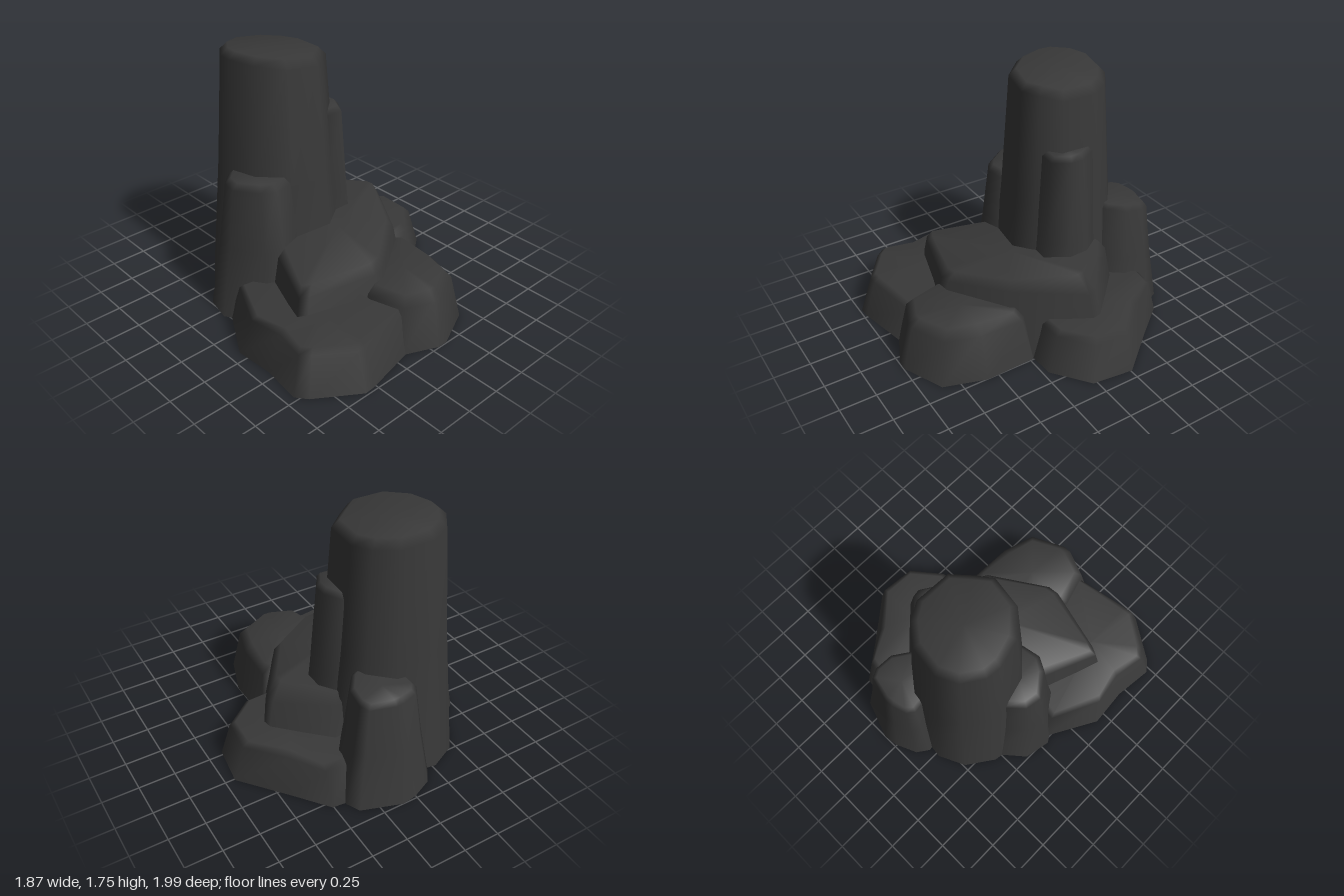
import * as THREE from 'three';

const stone = new THREE.MeshStandardMaterial({ color: 0x383838, side: THREE.DoubleSide });
stone.name = 'dark stone';

// One bevelled, open-bottomed rock.
// points: shoulder outline [x, z, bevel multiplier]; top(x, z): height of the top face;
// flare: how far the foot spreads; bevel: [inset, drop]; waist: adds a ring at half height.
function rock(name, { points, top, flare, bevel: [inset, drop], waist = false }) {
  const area = points.reduce((sum, [x, z], i) => {
    const [nx, nz] = points[(i + 1) % points.length];
    return sum + x * nz - nx * z;
  }, 0);
  const outline = area < 0 ? points : [...points].reverse();
  const n = outline.length;
  const cx = outline.reduce((s, p) => s + p[0], 0) / n;
  const cz = outline.reduce((s, p) => s + p[1], 0) / n;

  const rings = [{ out: flare, at: () => 0 }];
  if (waist) rings.push({ out: flare * 0.4, at: (y) => y * 0.52 });
  rings.push({ out: 0, at: (y, k) => y - drop * k });
  rings.push({ out: -inset, at: (y) => y, bevelled: true });

  const vertices = [];
  for (const { out, at, bevelled } of rings) {
    for (const [x, z, k = 1] of outline) {
      const r = Math.hypot(x - cx, z - cz);
      const s = 1 + (out * (bevelled ? k : 1)) / r;
      const px = cx + (x - cx) * s, pz = cz + (z - cz) * s;
      vertices.push(px, at(top(px, pz), k), pz);
    }
  }
  vertices.push(cx, top(cx, cz), cz);

  const index = [];
  for (let r = 0; r < rings.length - 1; r++) {
    for (let i = 0; i < n; i++) {
      const a = r * n + i, b = r * n + (i + 1) % n;
      index.push(a, b, b + n, a, b + n, a + n);
    }
  }
  const last = (rings.length - 1) * n;
  for (let i = 0; i < n; i++) index.push(last + i, last + (i + 1) % n, last + n);

  const geometry = new THREE.BufferGeometry();
  geometry.setAttribute('position', new THREE.Float32BufferAttribute(vertices, 3));
  geometry.setIndex(index);
  geometry.computeVertexNormals();
  const mesh = new THREE.Mesh(geometry, stone);
  mesh.name = name;
  return mesh;
}

export function createModel() {
  const group = new THREE.Group();
  group.name = 'rockFormation';

  // Tall columns
  group.add(rock('mainColumn', {
    points: [[-0.47, -0.4], [-0.46, -0.5], [-0.37, -0.63], [-0.24, -0.69], [-0.03, -0.66], [0.1, -0.56],
      [0.17, -0.44], [0.16, -0.2], [0.04, -0.1], [-0.06, -0.03], [-0.28, -0.07], [-0.42, -0.22]],
    top: (x) => 1.705 - 0.1 * x, flare: 0.14, bevel: [0.05, 0.05], waist: true,
  }));
  group.add(rock('backColumn', {
    points: [[-0.09, -0.8], [-0.05, -0.85], [0.05, -0.88], [0.11, -0.885], [0.28, -0.84], [0.31, -0.78],
      [0.3, -0.65], [0.22, -0.54], [0.08, -0.46], [-0.06, -0.55]],
    top: (x, z) => 0.87 + 0.125 * z, flare: 0.115, bevel: [0.03, 0.03], waist: true,
  }));
  group.add(rock('rightColumn', {
    points: [[-0.64, -0.2], [-0.62, -0.31], [-0.5, -0.42], [-0.32, -0.4], [-0.24, -0.25], [-0.28, -0.03],
      [-0.44, 0.0], [-0.53, -0.05]],
    top: () => 0.96, flare: 0.135, bevel: [0.04, 0.04], waist: true,
  }));
  group.add(rock('leftColumn', {
    points: [[0.06, -0.1], [0.2, -0.09], [0.27, -0.2], [0.27, -0.29], [0.2, -0.41], [0.08, -0.4], [0.02, -0.25]],
    top: () => 1.29, flare: 0.12, bevel: [0.03, 0.035], waist: true,
  }));

  // Sloping shelf around the columns
  group.add(rock('middleShelf', {
    points: [[-0.63, 0.42], [-0.57, 0.45], [-0.12, 0.57], [-0.04, 0.56], [0.33, 0.3], [0.61, -0.13, 2],
      [0.6, -0.19, 2], [0.3, -0.48], [-0.1, -0.45], [-0.48, 0.04]],
    top: (x, z) => Math.min(0.585, 0.55 + 0.06 * x - 0.1 * z), flare: 0.1, bevel: [0.05, 0.06],
  }));

  // Low rocks at the foot
  group.add(rock('frontRightRock', {
    points: [[-0.86, 0.23], [-0.82, 0.46], [-0.86, 0.68], [-0.81, 0.74], [-0.58, 0.9], [-0.52, 0.895],
      [-0.08, 0.82], [0.1, 0.5], [-0.1, 0.0], [-0.7, -0.1]],
    top: () => 0.29, flare: 0.085, bevel: [0.04, 0.035],
  }));
  group.add(rock('frontLeftRock', {
    points: [[-0.19, 0.6], [-0.12, 0.84], [0.07, 0.92], [0.13, 0.92], [0.36, 0.81], [0.43, 0.58],
      [0.44, 0.28], [0.4, 0.24], [0.05, 0.22], [-0.12, 0.35]],
    top: () => 0.37, flare: 0.075, bevel: [0.06, 0.06],
  }));
  group.add(rock('sideRock', {
    points: [[0.37, -0.74], [0.51, -0.72], [0.65, -0.5], [0.86, -0.26], [0.84, -0.02], [0.64, 0.14],
      [0.45, 0.15], [0.22, 0.0], [0.18, -0.45]],
    top: () => 0.29, flare: 0.075, bevel: [0.04, 0.035],
  }));

  return group;
}
